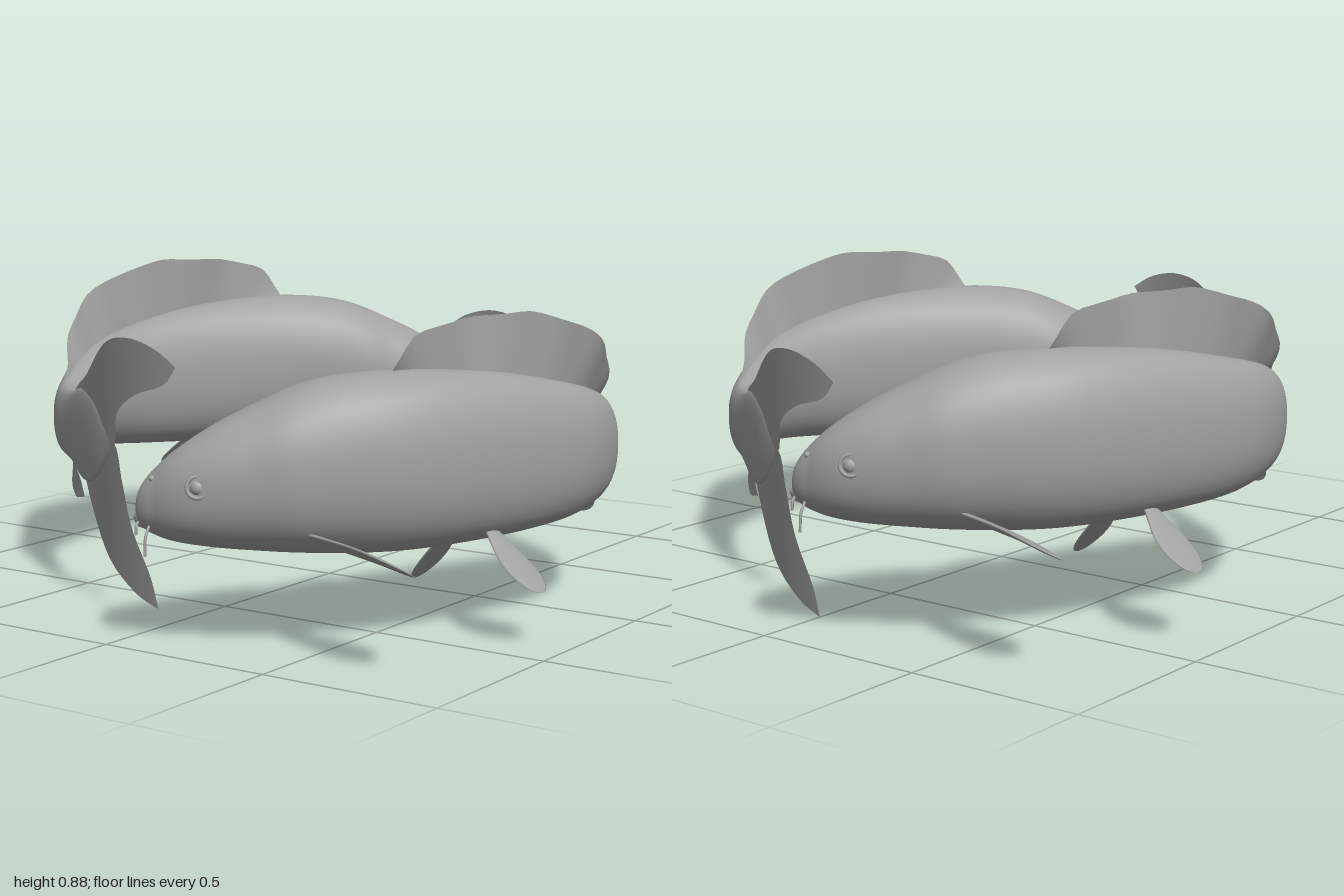
import * as THREE from 'three';

const V = (x, y, z) => new THREE.Vector3(x, y, z);
const curve = (pts) => new THREE.CatmullRomCurve3(pts.map((p) => V(p[0], p[1], p[2] ?? 0)), false, 'catmullrom');

// Body stations from nose into the tail: x, z, half width, top, bottom
const STATIONS = [
  [0.046, 0.912, 0, 0.36, 0.36],
  [0.066, 0.908, 0.06, 0.415, 0.312],
  [0.12, 0.897, 0.092, 0.485, 0.283],
  [0.205, 0.864, 0.124, 0.555, 0.268],
  [0.305, 0.795, 0.148, 0.62, 0.257],
  [0.435, 0.678, 0.165, 0.688, 0.245],
  [0.583, 0.512, 0.152, 0.706, 0.24],
  [0.712, 0.27, 0.124, 0.685, 0.25],
  [0.775, 0.05, 0.11, 0.642, 0.265],
  [0.766, -0.13, 0.092, 0.60, 0.285],
  [0.705, -0.293, 0.065, 0.55, 0.303],
  [0.63, -0.422, 0.046, 0.517, 0.312],
  [0.53, -0.51, 0.030, 0.515, 0.308],
  [0.42, -0.595, 0.020, 0.54, 0.28],
  [0.31, -0.672, 0.011, 0.52, 0.31],
  [0.21, -0.73, 0, 0.43, 0.40],
];
const LAST = STATIONS.length - 1;
const spine = curve(STATIONS.map(([x, z, , t, b]) => [x, (t + b) / 2, z]));
const girth = curve(STATIONS.map(([, , w, t, b]) => [w, (t - b) / 2, 0]));

// Point on the skin: s is the station number, a the angle (0 = left side, PI/2 = back)
function skin(s, a, lift = 1) {
  const t = s / LAST;
  const c = spine.getPoint(t);
  const g = girth.getPoint(t);
  const d = spine.getTangent(t).setY(0).normalize();
  const side = V(-d.z, 0, d.x);
  const gill = 1 + 0.03 * Math.exp(-(((s - 4.5) / 0.3) ** 2));
  const soft = (v) => Math.sign(v) * Math.abs(v) ** 0.88;
  return c.addScaledVector(side, Math.max(g.x, 0) * gill * lift * soft(Math.cos(a)))
    .add(V(0, Math.max(g.y, 0) * lift * soft(Math.sin(a)), 0));
}

function gridGeometry(rows, cols, closed, at) {
  const pos = [], idx = [];
  const n = closed ? cols : cols + 1;
  for (let i = 0; i <= rows; i++) {
    for (let j = 0; j < n; j++) pos.push(...at(i / rows, j / cols).toArray());
  }
  for (let i = 0; i < rows; i++) {
    for (let j = 0; j < cols; j++) {
      const k = (j + 1) % n;
      const a = i * n + j, b = a + n, c = i * n + k, d = c + n;
      idx.push(a, b, c, b, d, c);
    }
  }
  const g = new THREE.BufferGeometry();
  g.setAttribute('position', new THREE.Float32BufferAttribute(pos, 3));
  g.setIndex(idx);
  g.computeVertexNormals();
  return g;
}

// Thin sheet spanning two edge curves
function sheet(edgeA, edgeB, adjust = (p) => p) {
  const A = curve(edgeA), B = curve(edgeB);
  return gridGeometry(32, 8, false, (u, v) => adjust(A.getPointAt(u).lerp(B.getPointAt(u), v), u, v));
}

// Rounded, slightly thick paddle along a path, widened along the chord direction
function paddle(path, chord, width, rootWidth) {
  const c = curve(path);
  const dir = V(...chord).normalize();
  return gridGeometry(26, 16, true, (u, v) => {
    const q = 1 - (1 - u) ** 1.5;
    const cap = Math.sqrt(Math.max(0, 1 - Math.max(0, (q - 0.65) / 0.35) ** 2));
    const w = (rootWidth + (width - rootWidth) * Math.sin(Math.min(q / 0.7, 1) * Math.PI / 2) ** 1.3) * cap;
    const normal = c.getTangent(q).cross(dir).normalize();
    const a = v * Math.PI * 2;
    return c.getPoint(q).addScaledVector(dir, w * Math.cos(a))
      .addScaledVector(normal, (0.009 - 0.004 * q) * cap * Math.sin(a));
  });
}

function createFish(mat) {
  const fish = new THREE.Group();
  const add = (name, geometry) => {
    const m = new THREE.Mesh(geometry, mat);
    m.name = name;
    fish.add(m);
    return m;
  };

  add('body', gridGeometry(120, 40, true, (u, v) => skin(LAST * u ** 1.3, v * Math.PI * 2)));

  // Dorsal fin, leaning slightly outward with a wavy rim
  add('dorsalFin', sheet(
    [[0.56, 0.68, 0.54], [0.64, 0.68, 0.41], [0.71, 0.665, 0.27], [0.775, 0.62, 0.05],
      [0.768, 0.58, -0.13], [0.708, 0.53, -0.295], [0.645, 0.50, -0.40]],
    [[0.575, 0.70, 0.55], [0.60, 0.77, 0.51], [0.63, 0.81, 0.45], [0.71, 0.835, 0.25], [0.77, 0.825, 0.11],
      [0.812, 0.77, -0.07], [0.805, 0.715, -0.17], [0.775, 0.65, -0.25], [0.725, 0.575, -0.325], [0.645, 0.51, -0.41]],
    (p, u, v) => p.add(V(0.005 * v * Math.sin(u * 40), 0.003 * v * Math.sin(u * 34), 0)),
  ));

  // Forked tail, curving around with the body
  const bend = (p) => p.setZ(-0.816 + 0.25 * p.x + 0.618 * p.x * p.x - 0.05 * (p.y - 0.55));
  add('upperTailLobe', sheet(
    [[0.56, 0.50], [0.46, 0.545], [0.36, 0.59], [0.21, 0.695], [0.08, 0.72], [-0.035, 0.70], [-0.11, 0.66]],
    [[0.56, 0.40], [0.35, 0.41], [0.19, 0.42], [0.16, 0.51], [0.065, 0.57], [-0.06, 0.61], [-0.11, 0.66]],
    bend));
  add('lowerTailLobe', sheet(
    [[0.56, 0.32], [0.44, 0.28], [0.39, 0.23], [0.26, 0.10], [0.11, 0.03], [0, 0.004]],
    [[0.56, 0.42], [0.35, 0.425], [0.19, 0.43], [0.15, 0.33], [0.11, 0.21], [0.03, 0.09], [0, 0.004]],
    bend));

  // Paired fins and anal fin
  add('leftPectoralFin', paddle([[0.47, 0.30, 0.76], [0.67, 0.283, 0.80], [0.835, 0.272, 0.865]], [-0.25, 0.55, 1], 0.073, 0.035));
  add('rightPectoralFin', paddle([[0.35, 0.27, 0.62], [0.305, 0.308, 0.42], [0.335, 0.365, 0.21]], [-1, 1.15, 0], 0.078, 0.04));
  add('leftPelvicFin', paddle([[0.75, 0.28, 0.34], [0.83, 0.217, 0.365], [0.925, 0.145, 0.385]], [-0.17, 0.13, 1], 0.063, 0.025));
  add('rightPelvicFin', paddle([[0.64, 0.28, 0.35], [0.56, 0.195, 0.30], [0.475, 0.107, 0.245]], [-0.32, -0.32, 1], 0.064, 0.025));
  add('analFin', sheet(
    [[0.725, 0.32, -0.27], [0.68, 0.23, -0.36], [0.60, 0.19, -0.435], [0.53, 0.20, -0.475]],
    [[0.65, 0.34, -0.395], [0.61, 0.30, -0.435], [0.56, 0.25, -0.46], [0.53, 0.20, -0.475]]));

  // Lips around the blunt mouth
  const lip = [];
  for (let k = -4; k <= 4; k++) lip.push(skin(1.05, -Math.PI / 2 + k * 0.32, 0.98));
  add('lips', new THREE.TubeGeometry(new THREE.CatmullRomCurve3(lip), 32, 0.009, 8));

  // Eyes, nostrils and barbels, mirrored left and right
  for (const [label, a, sign] of [['left', 0.12, 1], ['right', Math.PI - 0.12, -1]]) {
    const eye = add(label + 'Eye', new THREE.SphereGeometry(0.022, 20, 14));
    eye.position.copy(skin(3.1, a, 0.88));
    const rim = add(label + 'EyeRim', new THREE.TorusGeometry(0.027, 0.005, 8, 24));
    rim.position.copy(skin(3.1, a, 0.97));
    rim.lookAt(skin(3.1, a, 2));
    const nostril = add(label + 'Nostril', new THREE.SphereGeometry(0.008, 10, 8));
    nostril.position.copy(skin(1.9, Math.PI / 2 - sign * 0.9));
    for (const [name, s, drop, out] of [['Front', 1.15, 0.035, 0.015], ['Rear', 1.8, 0.075, 0.03]]) {
      const root = skin(s, -Math.PI / 2 + sign * 0.95, 0.97);
      const d = spine.getTangent(s / LAST);
      const side = V(-d.z, 0, d.x).multiplyScalar(sign * out);
      const path = new THREE.CatmullRomCurve3([
        root,
        root.clone().addScaledVector(side, 0.8).add(V(0, -drop * 0.35, 0)),
        root.clone().add(side).add(V(0, -drop, 0)),
      ]);
      add(label + name + 'Barbel', new THREE.TubeGeometry(path, 10, 0.004, 6));
    }
  }
  return fish;
}

export function createModel() {
  const grey = new THREE.MeshStandardMaterial({ color: 0xa0a3a1, side: THREE.DoubleSide });
  grey.name = 'grey';

  // Two fish circling head to tail, the second slightly higher
  const model = new THREE.Group();
  model.name = 'circlingFish';
  const front = createFish(grey);
  front.name = 'frontFish';
  const back = createFish(grey);
  back.name = 'backFish';
  back.rotation.y = Math.PI;
  back.position.y = 0.05;
  model.add(front, back);
  return model;
}
